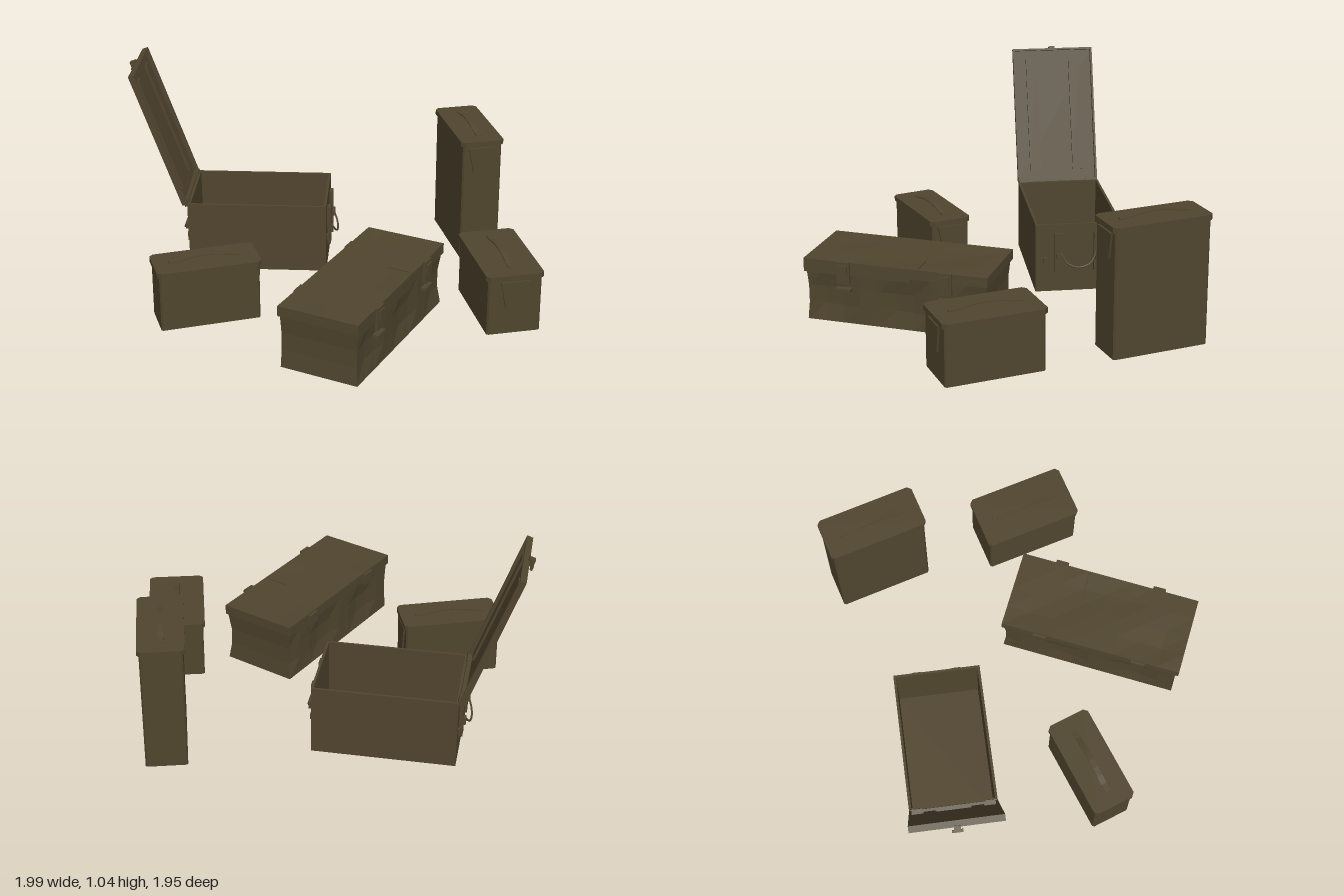
import * as THREE from 'three';

const olive = new THREE.MeshStandardMaterial({ color: 0x50452e, flatShading: true });
olive.name = 'olive drab';

function add(parent, name, geo, x = 0, y = 0, z = 0) {
  const m = new THREE.Mesh(geo, olive);
  m.name = name;
  m.position.set(x, y, z);
  parent.add(m);
  return m;
}
const box = (w, h, d) => new THREE.BoxGeometry(w, h, d);

function place(root, name, x, z, angle) {
  const g = new THREE.Group();
  g.name = name;
  g.position.set(x, 0, z);
  g.rotation.y = angle;
  root.add(g);
  return g;
}

// Upright block with chamfered vertical corners, base at y = 0
function chamferedBlock(w, h, d, c) {
  const a = w / 2, b = d / 2;
  const s = new THREE.Shape([
    [-a + c, -b], [a - c, -b], [a, -b + c], [a, b - c],
    [a - c, b], [-a + c, b], [-a, b - c], [-a, -b + c],
  ].map(p => new THREE.Vector2(...p)));
  return new THREE.ExtrudeGeometry(s, { depth: h, bevelEnabled: false }).rotateX(-Math.PI / 2);
}

// Closed ammunition can; its latch end is local +x
function can(root, name, x, z, angle, w, d, bottom, top) {
  const g = place(root, name, x, z, angle);
  add(g, 'canBody', chamferedBlock(w - 0.02, top - bottom - 0.02, d - 0.02, 0.008), 0, bottom, 0);
  add(g, 'canLid', chamferedBlock(w, 0.025, d, 0.018), 0, top - 0.025, 0);

  // Flat carrying strap, arched in the middle
  const strap = new THREE.BoxGeometry(0.35, 0.004, 0.028, 8, 1, 1);
  const p = strap.attributes.position;
  for (let i = 0; i < p.count; i++) {
    const t = Math.min(1, Math.abs(p.getX(i)) / 0.14);
    p.setY(i, p.getY(i) + 0.02 * (1 - t * t));
  }
  strap.computeVertexNormals();
  add(g, 'carryStrap', strap, 0, top + 0.003, 0);

  // Tapered latch plate
  const s = new THREE.Shape([[-0.045, -0.13], [0.045, -0.13], [0.07, 0], [-0.07, 0]]
    .map(q => new THREE.Vector2(...q)));
  const plate = new THREE.ExtrudeGeometry(s, { depth: 0.009, bevelEnabled: false }).rotateY(Math.PI / 2);
  add(g, 'latchPlate', plate, w / 2 - 0.01, top - 0.035, 0);
}

// Open crate with hinged lid
function openCrate(root) {
  const g = place(root, 'openCrate', -0.19, -0.467, -0.567);
  const L = 0.69, W = 0.43, y0 = 0.012, H = 0.353, t = 0.012;
  add(g, 'floor', box(L, t, W), 0, y0 + t / 2, 0);
  for (const s of [-1, 1]) {
    add(g, 'sideWall', box(L, H, t), 0, y0 + H / 2, s * (W - t) / 2);
    add(g, 'endWall', box(t, H, W - 2 * t), s * (L - t) / 2, y0 + H / 2, 0);

    // End fittings: two vertical straps with a drooping wire handle
    const end = new THREE.Group();
    end.name = 'endFittings';
    end.position.x = s * L / 2;
    if (s < 0) end.rotation.y = Math.PI;
    g.add(end);
    for (const k of [-1, 1]) {
      add(end, 'endStrap', box(0.018, 0.2, 0.045), 0.009, 0.22, k * 0.1);
      add(end, 'strapClip', box(0.03, 0.035, 0.03), 0.015, 0.2, k * 0.1);
      add(end, 'rivet', box(0.012, 0.025, 0.025), 0.006, 0.18, k * 0.165);
    }
    const path = new THREE.CatmullRomCurve3([
      [0.018, 0.22, -0.09], [0.04, 0.17, -0.06], [0.048, 0.15, 0],
      [0.04, 0.17, 0.06], [0.018, 0.22, 0.09],
    ].map(p => new THREE.Vector3(...p)));
    add(end, 'wireHandle', new THREE.TubeGeometry(path, 14, 0.005, 5));
  }

  // Lid modelled standing upright on its hinge, then tilted back
  const lid = new THREE.Group();
  lid.name = 'openLid';
  lid.position.set(-L / 2, y0 + H, 0);
  lid.rotation.z = 0.34;
  g.add(lid);
  const h = 0.715, w = 0.428;
  add(lid, 'lidPanel', box(0.01, h, w), -0.025, h / 2, 0);
  for (const s of [-1, 1]) {
    add(lid, 'lidSideRim', box(0.026, h, 0.01), -0.013, h / 2, s * (w / 2 - 0.005));
    add(lid, 'lidEndRim', box(0.026, 0.01, w), -0.013, h / 2 + s * (h / 2 - 0.005), 0);
    add(lid, 'lidRib', box(0.012, 0.6, 0.06), -0.014, 0.36, s * 0.115);
    add(lid, 'hinge', box(0.025, 0.025, 0.06), -0.008, 0, s * 0.18);
  }
  add(lid, 'lidCatch', box(0.03, 0.035, 0.03), -0.038, h - 0.005, 0);
  add(lid, 'lidCatchTip', box(0.012, 0.02, 0.05), -0.05, h - 0.025, 0);
}

// Long closed crate with a battered shell
function longCrate(root) {
  const g = place(root, 'longCrate', -0.18, 0.555, 0.584);
  const L = 0.92, W = 0.4;
  const shell = new THREE.BoxGeometry(L - 0.02, 0.26, W - 0.015, 10, 3, 4);
  const p = shell.attributes.position;
  for (let i = 0; i < p.count; i++) {
    const x = p.getX(i), y = p.getY(i), z = p.getZ(i);
    const mid = Math.max(0, 1 - Math.abs(y) / 0.13);
    // Long sides buckle inwards, ends sag slightly
    if (Math.abs(z) > 0.19) p.setZ(i, z - Math.sign(z) * mid * (0.012 + 0.012 * Math.sin(x * 17 + z * 5)));
    if (Math.abs(x) > 0.449) p.setX(i, x - Math.sign(x) * mid * 0.012);
  }
  shell.computeVertexNormals();
  add(g, 'crateShell', shell, 0, 0.145, 0);

  // Lid with a gently warped top and two skirt lengths
  const top = new THREE.BoxGeometry(L, 0.05, W, 8, 1, 4);
  const q = top.attributes.position;
  for (let i = 0; i < q.count; i++) {
    const x = q.getX(i), z = q.getZ(i);
    if (q.getY(i) > 0 && Math.abs(z) < 0.19 && Math.abs(x) < 0.45) {
      q.setY(i, q.getY(i) - 0.004 - 0.004 * Math.sin(x * 9 + z * 12));
    }
  }
  top.computeVertexNormals();
  add(g, 'crateLid', top, 0, 0.302, 0);
  add(g, 'lidSkirt', box(0.54, 0.02, 0.008), -0.19, 0.27, W / 2 - 0.004);
  add(g, 'lidCrease', box(0.006, 0.004, 0.13), 0.11, 0.326, 0.135);

  for (const x of [-0.255, 0.255]) {
    // Front latches
    add(g, 'latchPlate', box(0.065, 0.11, 0.015), x, 0.275, W / 2 + 0.006);
    add(g, 'latchHook', box(0.045, 0.05, 0.022), x, 0.29, W / 2 + 0.01);
    add(g, 'latchLever', box(0.075, 0.016, 0.03), x, 0.19, W / 2 + 0.004);
    // Rear hinges
    add(g, 'rearHinge', box(0.07, 0.06, 0.016), x + 0.005, 0.29, -W / 2 - 0.005);
  }
}

export function createModel() {
  const root = new THREE.Group();
  root.name = 'ammunitionCrates';
  openCrate(root);
  longCrate(root);
  can(root, 'lowCanLeft', -0.73, 0.012, -0.22, 0.5, 0.22, 0.004, 0.305);
  can(root, 'lowCanRight', 0.52, 0.645, 1.268 + Math.PI, 0.5, 0.28, 0.002, 0.305);
  can(root, 'tallCan', 0.82, -0.094, 1.277 + Math.PI, 0.5, 0.22, 0.012, 0.65);
  return root;
}
